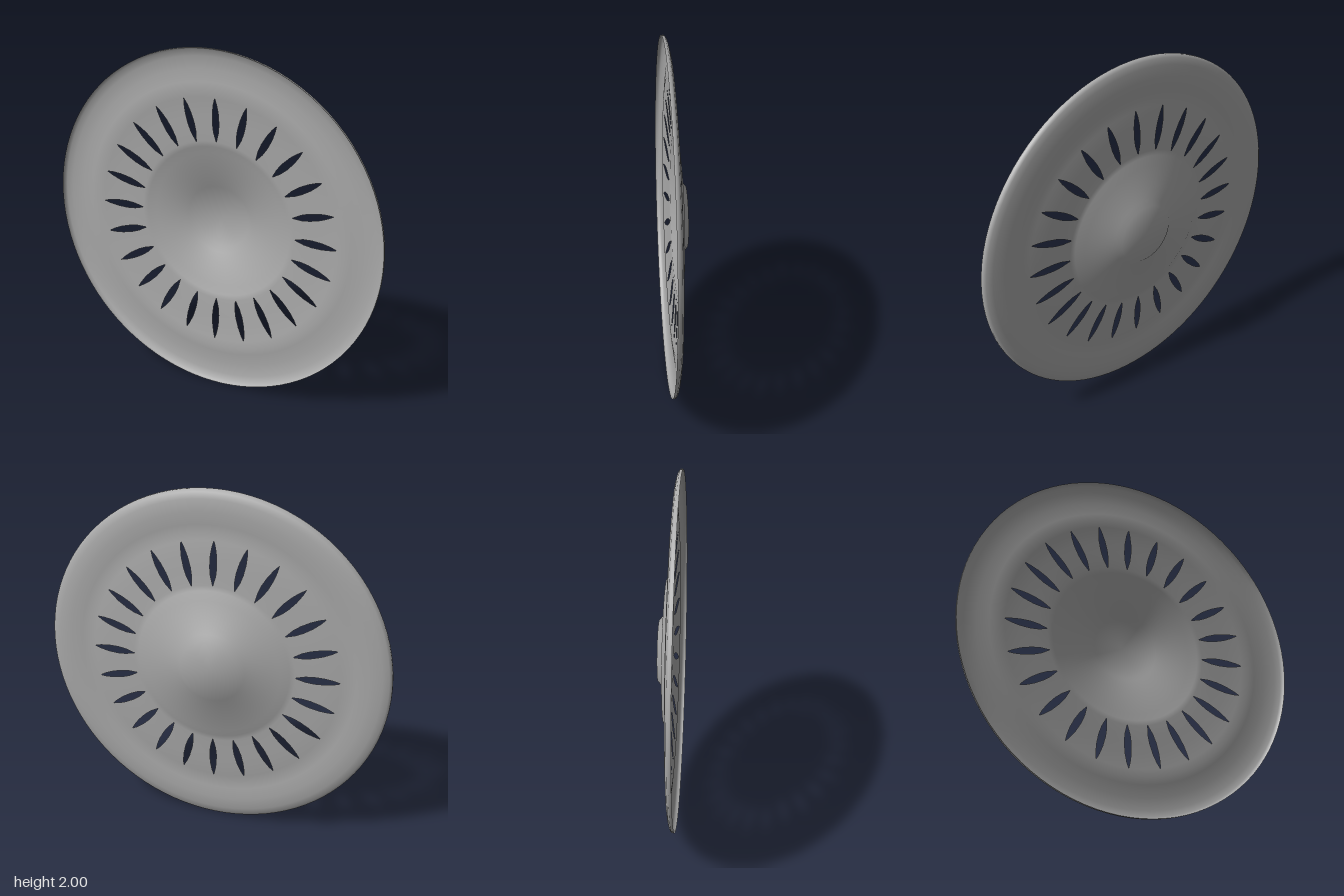
import * as THREE from 'three';

const SLOTS = 24;   // radial slots around the dish
const SEGS = 4;     // divisions between two neighbouring slots

// Rings from the centre to the rim: [radius, z, half width of the slot]
const RINGS = [
  [0, -0.06, 0], [0.17, -0.06, 0], [0.2, -0.036, 0], [0.4, -0.022, 0],
  [0.445, 0.002, 0], [0.475, 0.005, 0], [0.53, 0.009, 0.015], [0.58, 0.012, 0.02],
  [0.64, 0.016, 0.018], [0.69, 0.02, 0.01], [0.725, 0.024, 0], [0.77, 0.029, 0],
  [0.81, 0.026, 0], [0.88, 0.02, 0], [0.95, 0.026, 0], [0.985, 0.035, 0],
  [1, 0.045, 0], [1, 0.06, 0],
];

// Smooth normal of a ring, as [outward, forward]
function ringNormal(k) {
  const sum = new THREE.Vector2();
  for (const i of [k - 1, k]) {
    if (i < 0 || i + 1 >= RINGS.length) continue;
    const [r0, z0] = RINGS[i], [r1, z1] = RINGS[i + 1];
    sum.add(new THREE.Vector2(z0 - z1, r1 - r0).normalize());
  }
  return sum.normalize();
}

// Thin pressed sheet: every bay runs from one slot edge to the next
function slottedDish() {
  const positions = [], normals = [], index = [];
  const bay = (Math.PI * 2) / SLOTS, row = SEGS + 1;
  for (let s = 0; s < SLOTS; s++) {
    const base = positions.length / 3;
    RINGS.forEach(([r, z, half], k) => {
      const gap = r > 0 ? half / r : 0;
      const n = ringNormal(k);
      for (let j = 0; j <= SEGS; j++) {
        const a = s * bay + gap + (bay - 2 * gap) * (j / SEGS);
        const c = Math.cos(a), d = Math.sin(a);
        positions.push(r * c, r * d, z);
        normals.push(n.x * c, n.x * d, n.y);
      }
    });
    for (let k = 0; k < RINGS.length - 1; k++) {
      for (let j = 0; j < SEGS; j++) {
        const a = base + k * row + j, b = a + row;
        index.push(a, b, b + 1);
        if (k > 0) index.push(a, b + 1, a + 1);
      }
    }
  }
  const geometry = new THREE.BufferGeometry();
  geometry.setAttribute('position', new THREE.Float32BufferAttribute(positions, 3));
  geometry.setAttribute('normal', new THREE.Float32BufferAttribute(normals, 3));
  geometry.setIndex(index);
  return geometry;
}

export function createModel() {
  const group = new THREE.Group();
  group.name = 'slottedDisc';

  const metal = new THREE.MeshStandardMaterial({ color: 0xaaaaaa, side: THREE.DoubleSide });
  metal.name = 'grey metal';

  const dish = new THREE.Mesh(slottedDish(), metal);
  dish.name = 'dish';
  dish.position.y = 1;
  group.add(dish);
  return group;
}
